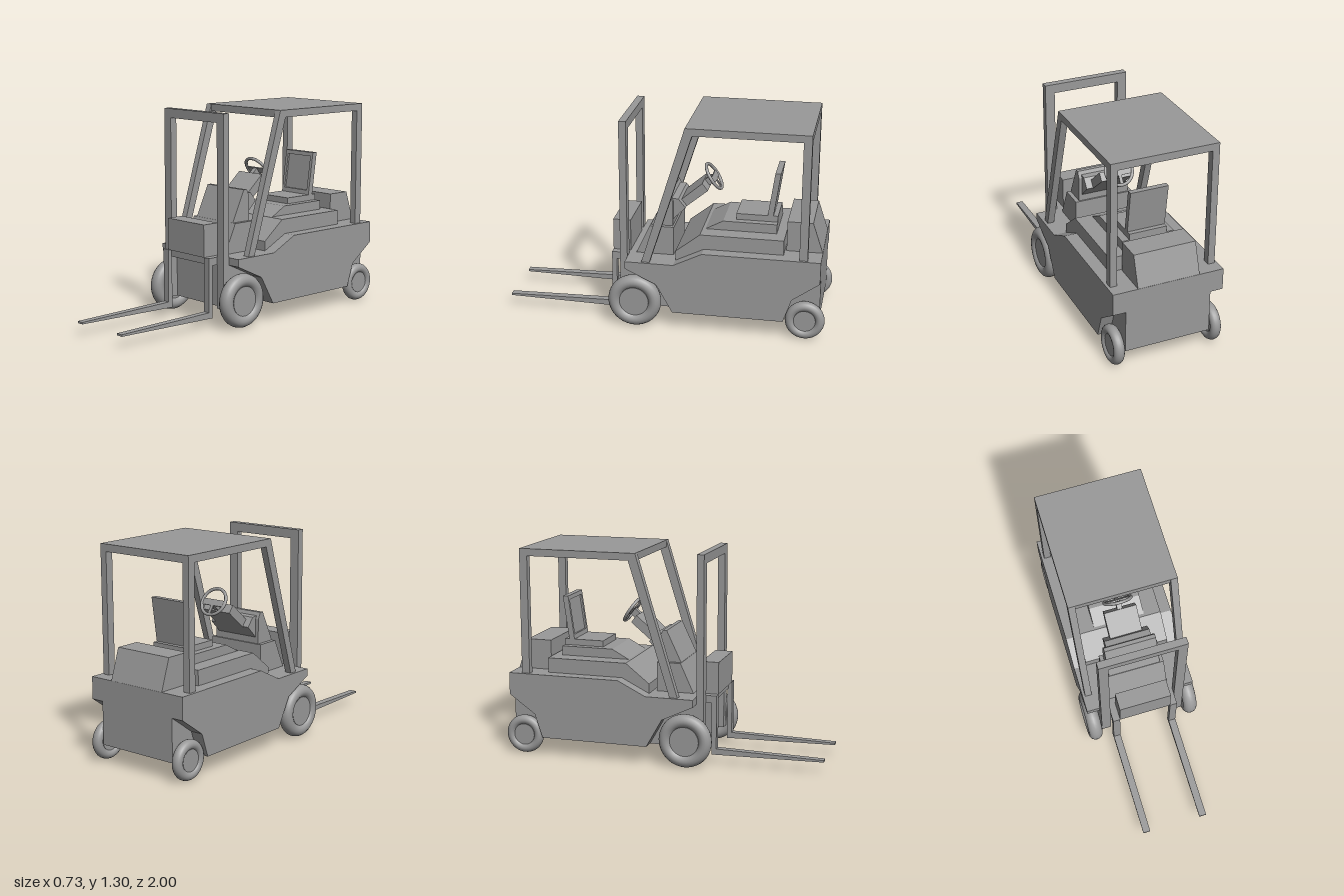
import * as THREE from 'three';

const material = new THREE.MeshStandardMaterial({ color: 0x999999 });

export function createModel() {
  const model = new THREE.Group();
  model.name = 'forklift';

  const add = (name, geometry, parent = model) => {
    const mesh = new THREE.Mesh(geometry, material);
    mesh.name = name;
    parent.add(mesh);
    return mesh;
  };
  // Box given by its limits on each axis
  const box = (name, x0, x1, y0, y1, z0, z1) =>
    add(name, new THREE.BoxGeometry(x1 - x0, y1 - y0, z1 - z0)
      .translate((x0 + x1) / 2, (y0 + y1) / 2, (z0 + z1) / 2));
  // Side profile of [z, y] points, extruded across from x0 to x1
  const slab = (name, points, x0, x1) => {
    const shape = new THREE.Shape(points.map(([z, y]) => new THREE.Vector2(z, y)));
    const geometry = new THREE.ExtrudeGeometry(shape, { depth: x1 - x0, bevelEnabled: false });
    return add(name, geometry.rotateY(-Math.PI / 2).translate(x1, 0, 0));
  };
  const centred = (name, points, half) => slab(name, points, -half, half);
  // Same profile on both sides
  const pair = (name, points, inner, outer) => {
    slab(name + 'Left', points, inner, outer);
    slab(name + 'Right', points, -outer, -inner);
  };

  // Chassis: full-depth core, and side panels cut away around the wheels
  const deckLine = [[-0.965, 0.52], [-0.25, 0.52], [-0.075, 0.433], [0.225, 0.433]];
  centred('chassisCore', [...deckLine, [0.225, 0.117], [-0.965, 0.117]], 0.27);
  pair('sidePanel', [...deckLine, [0.225, 0.387], [0.03, 0.295], [-0.07, 0.117],
    [-0.75, 0.117], [-0.8, 0.265], [-0.965, 0.383]], 0.27, 0.35);

  // Engine cover, seat plinth and rear counterweight
  centred('engineCover', [[-0.075, 0.43], [-0.075, 0.493], [-0.225, 0.612],
    [-0.735, 0.612], [-0.735, 0.43]], 0.27);
  centred('seatPlinth', [[-0.23, 0.605], [-0.35, 0.67], [-0.68, 0.67], [-0.68, 0.605]], 0.165);
  centred('counterweight', [[-0.745, 0.515], [-0.745, 0.708], [-0.9, 0.708], [-0.965, 0.515]], 0.195);

  // Seat, its back a shell with a raised border
  box('seatCushion', -0.12, 0.12, 0.665, 0.708, -0.68, -0.425);
  const backStrip = (y0, y1, front, back) => [[y0, front], [y1, front], [y1, back], [y0, back]]
    .map(([y, offset]) => [-0.615 - 0.143 * (y - 0.7) - offset, y]);
  centred('seatBackShell', backStrip(0.7, 0.98, 0.012, 0.035), 0.12);
  pair('seatBackSide', backStrip(0.7, 0.98, 0, 0.012), 0.1, 0.12);
  centred('seatBackTop', backStrip(0.955, 0.98, 0, 0.012), 0.1);
  centred('seatBackFoot', backStrip(0.7, 0.735, 0, 0.012), 0.1);

  // Dashboard and steering column
  centred('cowl', [[0.185, 0.43], [0.1, 0.615], [-0.05, 0.615], [-0.05, 0.43]], 0.19);
  centred('dashboard', [[0.1, 0.61], [0.005, 0.81], [-0.02, 0.81], [-0.04, 0.77], [-0.04, 0.61]], 0.165);
  centred('columnBase', [[-0.02, 0.79], [-0.07, 0.785], [-0.115, 0.73], [-0.03, 0.645]], 0.145);
  centred('steeringColumn', [[-0.06, 0.75], [-0.21, 0.88], [-0.245, 0.835], [-0.095, 0.71]], 0.103);
  centred('columnNeck', [[-0.2, 0.865], [-0.25, 0.905], [-0.275, 0.87], [-0.23, 0.83]], 0.016);

  // Steering wheel
  const steering = new THREE.Group();
  steering.name = 'steeringWheel';
  steering.position.set(0, 0.897, -0.267);
  steering.rotation.x = 0.594;
  model.add(steering);
  add('steeringRim', new THREE.TorusGeometry(0.086, 0.01, 10, 36), steering);
  add('steeringCrossSpoke', new THREE.BoxGeometry(0.165, 0.04, 0.008).translate(0, -0.006, 0), steering);
  add('steeringLowerSpoke', new THREE.BoxGeometry(0.02, 0.084, 0.008).translate(0, -0.042, 0), steering);

  // Overhead guard
  box('roof', -0.333, 0.333, 1.255, 1.3, -0.885, -0.14);
  pair('guardFrontPost', [[0.125, 0.43], [-0.14, 1.3], [-0.185, 1.258], [0.075, 0.43]], 0.29, 0.333);
  pair('guardRearPost', [[-0.835, 0.515], [-0.835, 1.26], [-0.885, 1.26], [-0.885, 0.515]], 0.29, 0.333);

  // Mast: an arch in front of the chassis
  const mast = new THREE.Shape([[-0.27, 0.117], [-0.21, 0.117], [-0.21, 1.243], [0.21, 1.243],
    [0.21, 0.117], [0.27, 0.117], [0.27, 1.3], [-0.27, 1.3]].map(p => new THREE.Vector2(...p)));
  add('mast', new THREE.ExtrudeGeometry(mast, { depth: 0.045, bevelEnabled: false }).translate(0, 0, 0.225));

  // Carriage and forks
  box('carriage', -0.165, 0.165, 0.433, 0.632, 0.225, 0.335);
  box('carriageBar', -0.21, 0.21, 0.387, 0.433, 0.22, 0.31);
  pair('fork', [[0.335, 0.433], [0.305, 0.433], [0.305, 0.062], [1, 0.075], [1, 0.087],
    [0.335, 0.1]], 0.165, 0.21);

  // Wheels: rounded tyre around a flat hub
  const wheel = (name, x, z, radius, halfWidth) => {
    const group = new THREE.Group();
    group.name = name;
    group.position.set(x, radius + 0.003, z);
    model.add(group);
    const tube = radius * 0.25;
    add('tyre', new THREE.TorusGeometry(radius - tube, tube, 16, 40)
      .scale(1, 1, halfWidth / tube).rotateY(Math.PI / 2), group);
    add('hub', new THREE.CylinderGeometry(radius * 0.55, radius * 0.55, halfWidth * 1.3, 32)
      .rotateZ(Math.PI / 2), group);
  };
  for (const [side, s] of [['Left', 1], ['Right', -1]]) {
    wheel('frontWheel' + side, s * 0.32, 0.17, 0.166, 0.045);
    wheel('rearWheel' + side, s * 0.312, -0.88, 0.121, 0.033);
  }
  return model;
}
